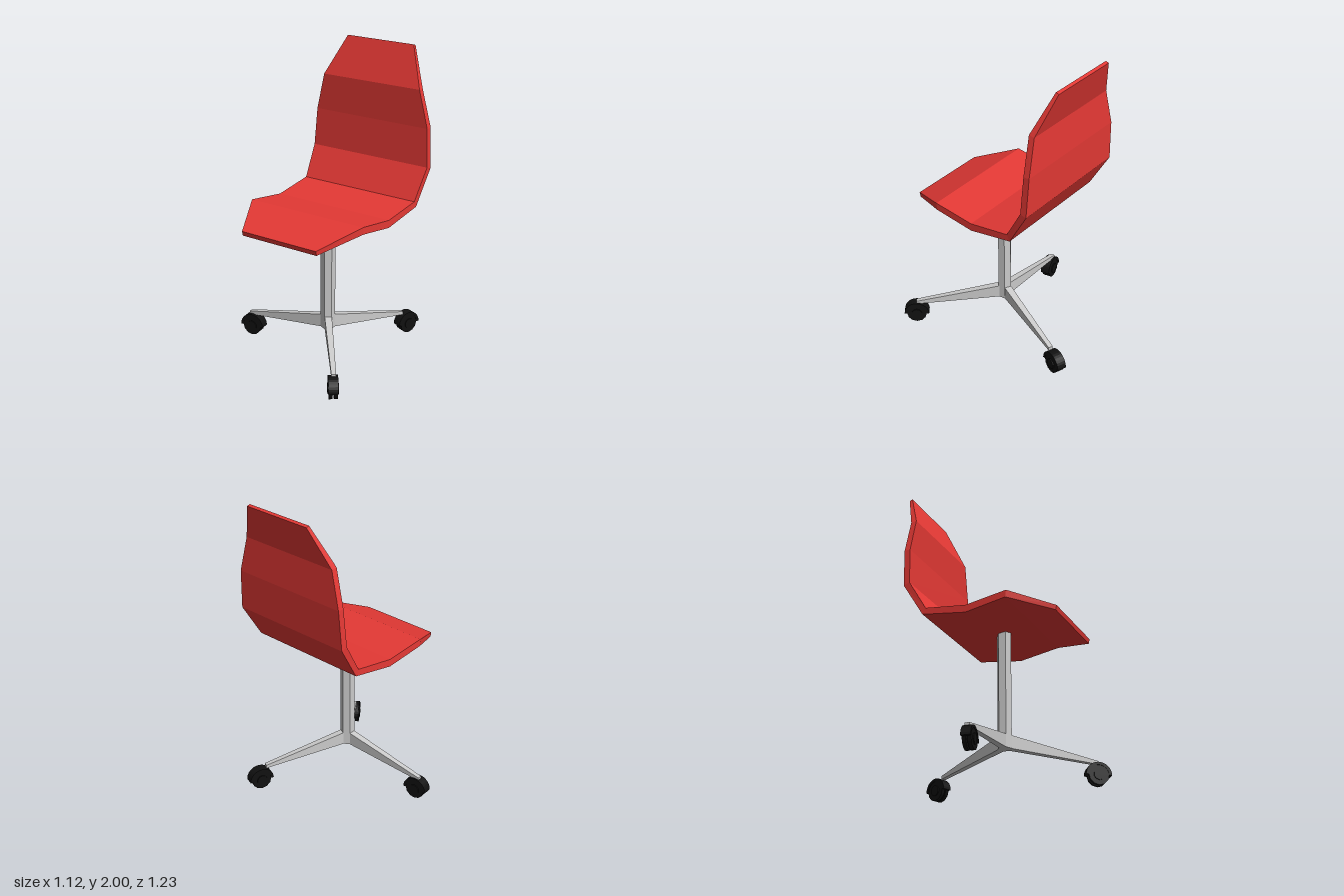
import * as THREE from 'three';

const paint = (color) => new THREE.MeshStandardMaterial({ color, flatShading: true });
const red = paint(0xe53935);
const grey = paint(0xcccccc);
const black = paint(0x111111);

const HUB = { x: 0.106, z: 0.064 };

// Moves every vertex of a geometry by a rule and gives it flat facets
function reshape(geometry, rule) {
  const flat = geometry.toNonIndexed();
  const pos = flat.attributes.position;
  const v = new THREE.Vector3();
  for (let i = 0; i < pos.count; i++) {
    rule(v.fromBufferAttribute(pos, i));
    pos.setXYZ(i, v.x, v.y, v.z);
  }
  flat.computeVertexNormals();
  return flat;
}

function addMesh(parent, name, geometry, material) {
  const mesh = new THREE.Mesh(geometry, material);
  mesh.name = name;
  parent.add(mesh);
  return mesh;
}

// Seat shell stations from front lip to top of back:
// [half width, sitting side z, y, outer side z, y]
const STATIONS = [
  [0.28, 0.555, 0.95, 0.548, 0.92],
  [0.425, 0.28, 1.05, 0.275, 1.003],
  [0.423, 0, 1.01, 0, 0.96],
  [0.425, -0.283, 1.05, -0.305, 1.01],
  [0.44, -0.398, 1.25, -0.44, 1.237],
  [0.425, -0.41, 1.5, -0.451, 1.5],
  [0.365, -0.403, 1.745, -0.442, 1.74],
  [0.25, -0.505, 2.0, -0.526, 1.993],
];

function seatShell() {
  const last = STATIONS.length - 1;
  return reshape(new THREE.BoxGeometry(1, 1, 1, 1, 1, last), (v) => {
    const [half, zIn, yIn, zOut, yOut] = STATIONS[Math.round((0.5 - v.z) * last)];
    const side = Math.sign(v.x) * half;
    const z = v.y > 0 ? zIn : zOut;
    // the shell is turned very slightly on its post
    v.set(0.096 - 0.012 * z + side, v.y > 0 ? yIn : yOut, z - 0.012 * side);
  });
}

// Tapered leg running along +x from the hub to its tip
function legGeometry(length) {
  return reshape(new THREE.BoxGeometry(1, 1, 1), (v) => {
    const tip = v.x > 0;
    const up = v.y > 0;
    v.x = tip ? length : 0.035;
    v.y = tip ? (up ? 0.16 : 0.138) : (up ? 0.282 : 0.195);
    v.z = Math.sign(v.z) * (tip ? 0.015 : 0.0235);
  });
}

// Arched hood over the wheels, rolling direction along x
function hoodGeometry() {
  const shape = new THREE.Shape();
  shape.absarc(0, 0, 0.083, 0, Math.PI, false);
  shape.absarc(0, 0, 0.064, Math.PI, 0, true);
  const depth = 0.062;
  return new THREE.ExtrudeGeometry(shape, { depth, bevelEnabled: false, curveSegments: 8 })
    .translate(0, 0, -depth / 2);
}

function caster() {
  const group = new THREE.Group();
  group.name = 'caster';
  addMesh(group, 'casterHood', hoodGeometry(), black).position.y = 0.065;
  for (const side of [-1, 1]) {
    const wheel = addMesh(group, 'wheel', new THREE.CylinderGeometry(0.066, 0.066, 0.024, 12), black);
    wheel.rotation.x = Math.PI / 2;
    wheel.position.set(0, 0.066, side * 0.016);
    const cap = addMesh(group, 'wheelCap', new THREE.CylinderGeometry(0.035, 0.035, 0.01, 10), black);
    cap.rotation.x = Math.PI / 2;
    cap.position.set(0, 0.066, side * 0.03);
  }
  const axle = addMesh(group, 'axle', new THREE.CylinderGeometry(0.02, 0.02, 0.04, 8), black);
  axle.rotation.x = Math.PI / 2;
  axle.position.y = 0.066;
  return group;
}

export function createModel() {
  const model = new THREE.Group();
  model.name = 'swivelChair';

  addMesh(model, 'seatShell', seatShell(), red);

  // Six-sided post, every other side facing a leg
  const post = addMesh(model, 'post', new THREE.CylinderGeometry(0.047, 0.047, 0.79, 6), grey);
  post.position.set(HUB.x, 0.195 + 0.395, HUB.z);
  post.rotation.y = THREE.MathUtils.degToRad(6);

  // Leg tip, caster centre and caster heading for each of the three legs
  const legs = [
    { tip: [-0.505, 0.115], wheel: [-0.478, 0.118], heading: 170 },
    { tip: [0.485, 0.525], wheel: [0.482, 0.528], heading: 52 },
    { tip: [0.33, -0.485], wheel: [0.342, -0.525], heading: -71 },
  ];
  for (const { tip, wheel, heading } of legs) {
    const dx = tip[0] - HUB.x;
    const dz = tip[1] - HUB.z;
    const leg = addMesh(model, 'leg', legGeometry(Math.hypot(dx, dz)), grey);
    leg.position.set(HUB.x, 0, HUB.z);
    leg.rotation.y = -Math.atan2(dz, dx);

    const foot = caster();
    foot.position.set(wheel[0], 0, wheel[1]);
    foot.rotation.y = -THREE.MathUtils.degToRad(heading);
    model.add(foot);
  }
  return model;
}
